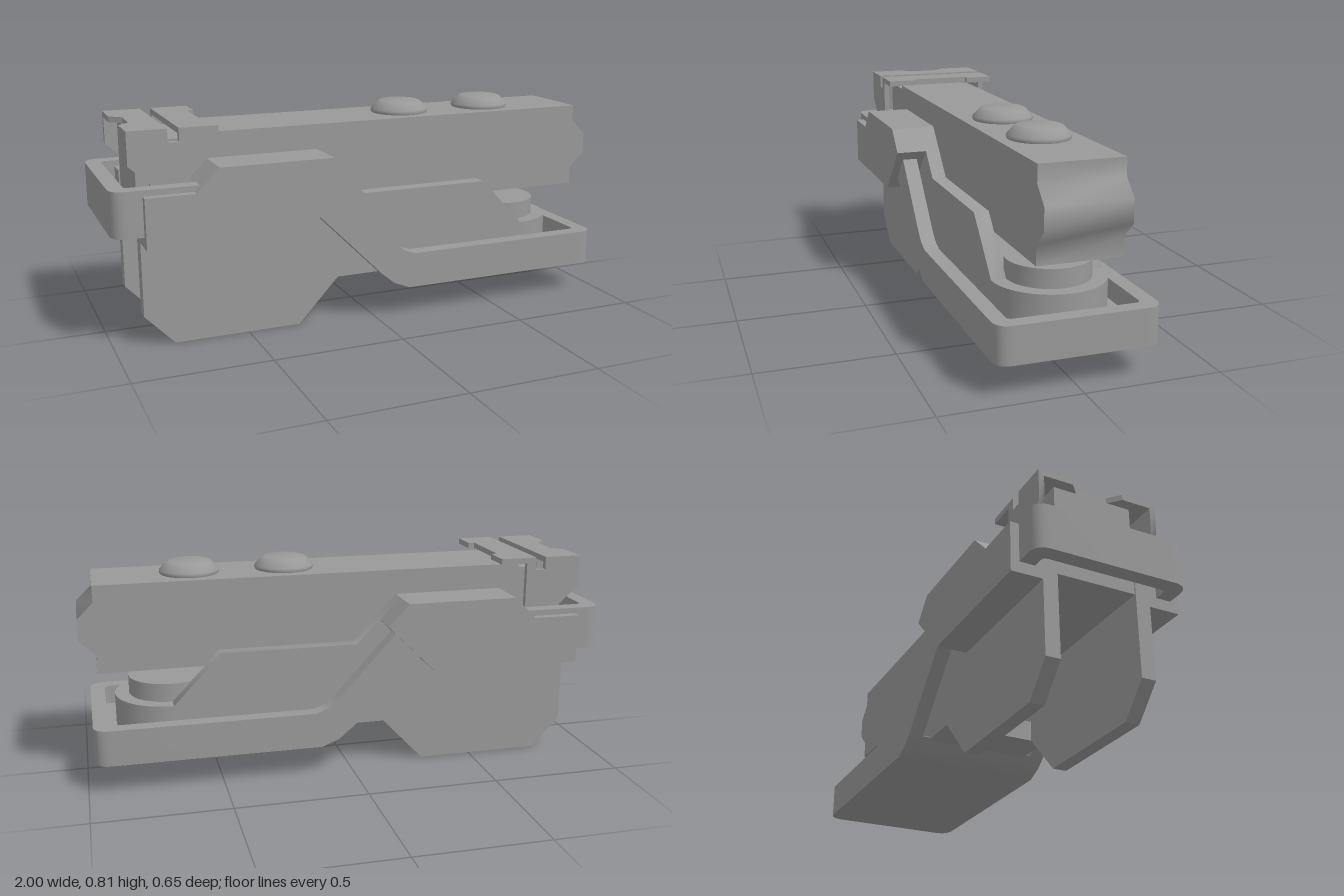
import * as THREE from 'three';
import { toCreasedNormals } from 'three/addons/utils/BufferGeometryUtils.js';

const material = new THREE.MeshStandardMaterial({ color: 0x999999 });
const SHARP = 0.6, SMOOTH = 0.95; // crease angles

export function createModel() {
  const model = new THREE.Group();

  const add = (name, geometry, crease = SHARP) => {
    const mesh = new THREE.Mesh(toCreasedNormals(geometry, crease), material);
    mesh.name = name;
    model.add(mesh);
    return mesh;
  };
  const outline = (pts) => new THREE.Shape(pts.map(([x, y]) => new THREE.Vector2(x, y)));
  const extrude = (shape, depth) =>
    new THREE.ExtrudeGeometry(shape, { depth, bevelEnabled: false, curveSegments: 8 });

  // Side profile (x, y) extruded from z0 to z1
  const profile = (name, pts, z0, z1, crease) =>
    add(name, extrude(outline(pts), z1 - z0).translate(0, 0, z0), crease);
  const mirrored = (name, pts, z0, z1, crease) => {
    profile(name + 'Left', pts, z0, z1, crease);
    profile(name + 'Right', pts, -z1, -z0, crease);
  };
  // Plan shape (x, z) extruded from y0 to y1
  const plan = (name, shape, y0, y1) =>
    add(name, extrude(shape, y1 - y0).rotateX(-Math.PI / 2).translate(0, y0, 0));

  // Plan of an end with rounded outer corners at xEnd; a wall makes it a U, no wall makes it solid
  const endPlan = (xIn, xEnd, w, r, wall) => {
    const d = Math.sign(xEnd - xIn);
    const s = new THREE.Shape();
    s.moveTo(xIn, -w);
    s.lineTo(xEnd - d * r, -w);
    s.quadraticCurveTo(xEnd, -w, xEnd, -w + r);
    s.lineTo(xEnd, w - r);
    s.quadraticCurveTo(xEnd, w, xEnd - d * r, w);
    s.lineTo(xIn, w);
    if (wall) {
      const v = w - wall, e = xEnd - d * wall, q = 0.02;
      s.lineTo(xIn, v);
      s.lineTo(e - d * q, v);
      s.quadraticCurveTo(e, v, e, v - q);
      s.lineTo(e, -v + q);
      s.quadraticCurveTo(e, -v, e - d * q, -v);
      s.lineTo(xIn, -v);
    }
    s.closePath();
    return s;
  };

  // Upper beam with blunt nose and a lower stub under the rear bracket
  profile('upperBeam', [
    [-0.885, 0.43], [0.94, 0.43], [0.94, 0.5], [1, 0.557], [1, 0.638], [0.94, 0.697],
    [0.94, 0.76], [-0.705, 0.76], [-0.705, 0.745], [-0.885, 0.745],
  ], -0.152, 0.152, SMOOTH);

  // Round buttons on top of the beam
  for (const x of [0.21, 0.575]) {
    const pts = [[0.108, 0.755], [0.114, 0.766], [0.112, 0.775], [0.085, 0.803], [0.075, 0.807], [0, 0.807]];
    const dome = new THREE.LatheGeometry(pts.map(([r, y]) => new THREE.Vector2(r, y)), 32);
    add('button', dome, 1.2).position.x = x;
  }

  // Rear bracket: side walls, notched top plate and overhanging front plate
  mirrored('bracketWall', [
    [-0.925, 0.675], [-0.85, 0.606], [-0.85, 0.56], [-0.705, 0.56], [-0.705, 0.78],
    [-0.742, 0.78], [-0.742, 0.748], [-0.782, 0.748], [-0.782, 0.797], [-0.925, 0.797],
  ], 0.212, 0.233, SMOOTH);
  plan('bracketTop', outline([
    [-0.925, -0.233], [-0.782, -0.233], [-0.782, 0.233], [-0.925, 0.233],
    [-0.925, 0.1], [-0.882, 0.06], [-0.882, -0.06], [-0.925, -0.1],
  ]), 0.775, 0.797);
  plan('bracketOverhang', outline([
    [-0.742, -0.233], [-0.6, -0.233], [-0.6, -0.122], [-0.625, -0.122],
    [-0.625, 0.122], [-0.6, 0.122], [-0.6, 0.233], [-0.742, 0.233],
  ]), 0.775, 0.797);
  profile('bracketCore', [[-0.885, 0.74], [-0.782, 0.74], [-0.782, 0.776], [-0.885, 0.776]], -0.152, 0.152);

  // Side plates: rear legs, and front plates that run into the round pad
  mirrored('leg', [
    [-0.89, 0.115], [-0.78, 0], [-0.3, 0], [-0.14, 0.17], [-0.2, 0.665],
    [-0.625, 0.665], [-0.71, 0.58], [-0.89, 0.58],
  ], 0.152, 0.207);
  mirrored('frontPlate', [
    [-0.14, 0.17], [0.672, 0.17], [0.672, 0.3], [0.49, 0.49], [-0.03, 0.49], [-0.2, 0.665],
  ], 0.152, 0.207, SMOOTH);
  profile('lowerFloor', [[-0.14, 0.17], [0.67, 0.17], [0.67, 0.25], [-0.14, 0.25]], -0.152, 0.152);

  // Outer covers
  mirrored('cover', [
    [-0.89, 0.393], [-0.31, 0.393], [-0.12, 0.582], [-0.2, 0.665],
    [-0.625, 0.665], [-0.71, 0.58], [-0.89, 0.58],
  ], 0.206, 0.325);

  // Frame: rear loop, slanted arms and front tray
  plan('rearLoop', endPlan(-0.69, -1, 0.293, 0.06, 0.057), 0.435, 0.602);
  mirrored('arm', [
    [-0.3, 0.48], [-0.254, 0.45], [0.008, 0.188], [0.06, 0.145], [0.126, 0.118], [0.5, 0.118],
    [0.5, 0.254], [0.15, 0.254], [0.1, 0.272], [0.06, 0.306], [-0.158, 0.545], [-0.22, 0.55],
  ], 0.236, 0.293);
  plan('trayRim', endPlan(0.5, 0.97, 0.293, 0.06, 0.057), 0.118, 0.254);
  plan('trayFloor', endPlan(0.5, 0.965, 0.288, 0.06, 0), 0.118, 0.18);
  profile('trayRamp', [
    [0.02, 0.178], [0.06, 0.145], [0.126, 0.118], [0.5, 0.118], [0.5, 0.18], [0.02, 0.18],
  ], -0.237, 0.237);

  // Stepped round pad inside the tray
  for (const [r, y0, y1] of [[0.207, 0.17, 0.3], [0.153, 0.3, 0.37]]) {
    add('pad', new THREE.CylinderGeometry(r, r, y1 - y0, 40)).position.set(0.672, (y0 + y1) / 2, 0);
  }

  return model;
}
